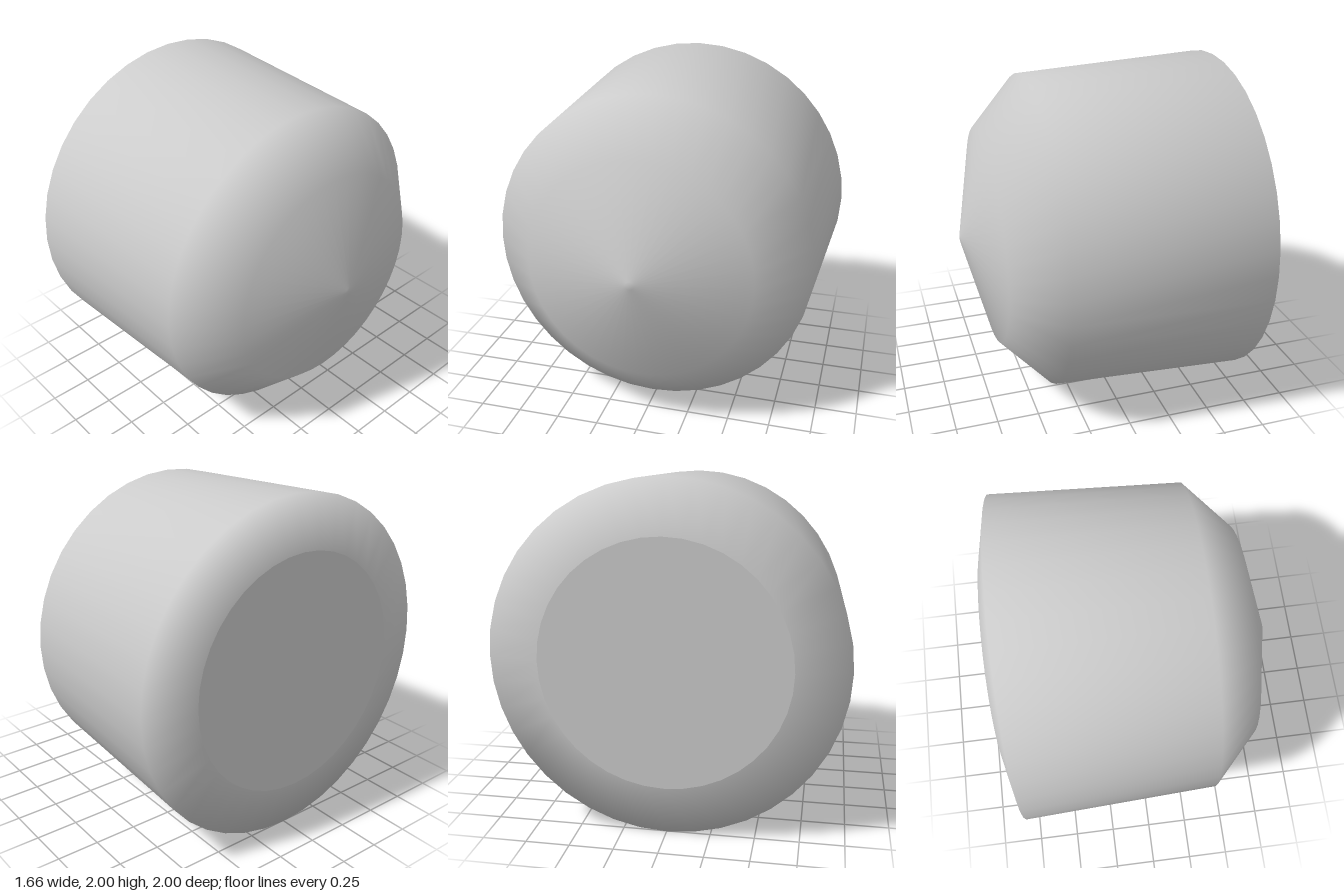
import * as THREE from 'three';

const SEGMENTS = 40;

export function createModel() {
  const group = new THREE.Group();
  group.name = 'roundedPlug';
  const grey = new THREE.MeshStandardMaterial({ color: 0xcccccc });
  grey.name = 'light grey';

  // Smooth turned shell: bevelled rim, tapering wall, shoulder, shallow cone and blunt tip
  const profile = [
    [0.7, -0.83], [1, -0.755], [0.945, 0.4], [0.655, 0.675], [0.025, 0.83], [0, 0.83],
  ].map(([radius, along]) => new THREE.Vector2(radius, along));
  const shell = new THREE.Mesh(new THREE.LatheGeometry(profile, SEGMENTS).rotateZ(-Math.PI / 2), grey);
  shell.name = 'shell';

  // Flat disc closing the wide end
  const cap = new THREE.Mesh(new THREE.CircleGeometry(0.7, SEGMENTS).rotateY(-Math.PI / 2), grey);
  cap.name = 'endCap';
  cap.position.x = -0.83;

  for (const part of [shell, cap]) {
    part.position.y = 1;
    group.add(part);
  }
  return group;
}
